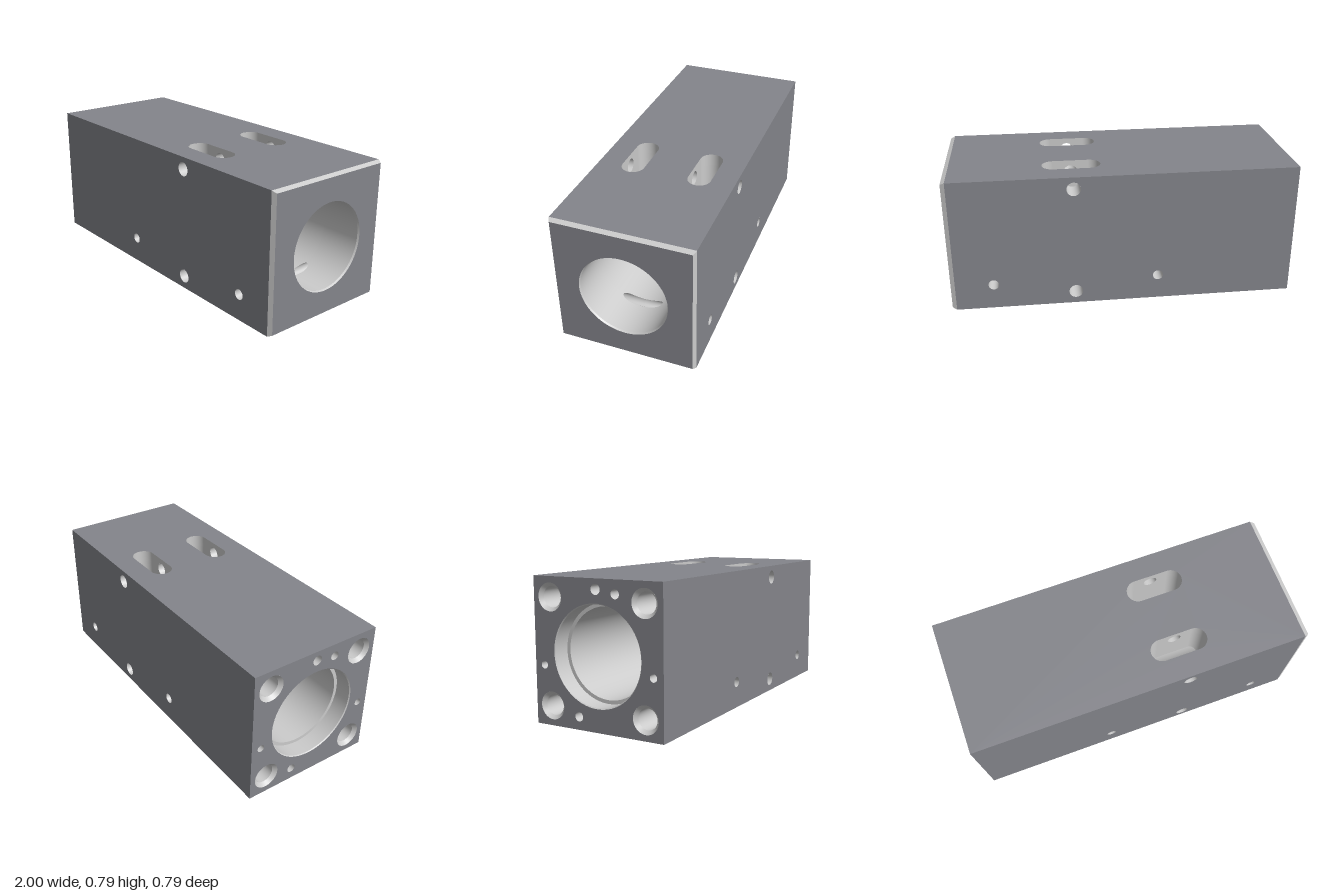
import * as THREE from 'three';
import { mergeGeometries } from 'three/addons/utils/BufferGeometryUtils.js';

const H = 0.395;                 // half height and half depth of the block
const BEVEL_X = 0.975;           // where the end bevel starts
const BORE = 0.245, WEB = 0.165; // wide bores and the narrow passage between them
const WEB0 = 0.05, WEB1 = 0.52;  // ends of the narrow passage
const MID = 0.2825;              // slots and cross holes are centred here
const SLOT = { z: 0.195, r: 0.065, half: 0.1025 };
const CROSS = { r: 0.04, ys: [0.075, 0.72] };
const PIN = { r: 0.03, y: 0.15, xs: [-0.2, 0.755] };

const painted = new THREE.MeshStandardMaterial({ color: 0x84858b, side: THREE.DoubleSide });
const bare = new THREE.MeshStandardMaterial({ color: 0xcccccc, side: THREE.DoubleSide });

const root = (v) => Math.sqrt(Math.max(0, v));

function circle(x, y, r) {
  return new THREE.Path().absarc(x, y, r, 0, Math.PI * 2, true);
}

function slotPath(cy) {
  const p = new THREE.Path();
  p.absarc(MID + SLOT.half, cy, SLOT.r, -Math.PI / 2, Math.PI / 2, false);
  p.absarc(MID - SLOT.half, cy, SLOT.r, Math.PI / 2, Math.PI * 1.5, false);
  p.closePath();
  return p;
}

// Flat rectangular face with holes cut in it
function panel(x0, x1, y0, y1, holes) {
  const s = new THREE.Shape([[x0, y0], [x1, y0], [x1, y1], [x0, y1]].map(([x, y]) => new THREE.Vector2(x, y)));
  s.holes.push(...holes);
  return new THREE.ShapeGeometry(s, 48);
}

// Turned surface along x, with a sharp edge at each [x, radius] step
function turned(profile, segments = 96) {
  const parts = [];
  for (let i = 0; i + 1 < profile.length; i++) {
    const pts = [profile[i], profile[i + 1]].map(([x, r]) => new THREE.Vector2(r, x));
    parts.push(new THREE.LatheGeometry(pts, segments));
  }
  return mergeGeometries(parts).rotateZ(-Math.PI / 2);
}

// Wall swept round an outline; spans(i) lists the solid stretches, leaving gaps where other holes break in
function brokenWall(n, point, spans) {
  const pos = [], idx = [];
  const count = spans(0).length;
  for (let k = 0; k < count; k++) {
    const base = pos.length / 3;
    for (let i = 0; i <= n; i++) {
      const [a, b] = spans(i)[k];
      pos.push(...point(i, a), ...point(i, b));
      if (i < n) {
        const q = base + i * 2;
        idx.push(q, q + 1, q + 2, q + 1, q + 3, q + 2);
      }
    }
  }
  const g = new THREE.BufferGeometry();
  g.setAttribute('position', new THREE.Float32BufferAttribute(pos, 3));
  g.setIndex(idx);
  g.computeVertexNormals();
  return g;
}

// Cylindrical wall along x with an opening of half width cut(y, z) around cx
function boreWall(r, x0, x1, cx, cut) {
  const n = 256;
  const yz = (i) => {
    const a = (i / n) * Math.PI * 2;
    return [H - r * Math.cos(a), r * Math.sin(a)];
  };
  return brokenWall(n, (i, x) => [x, ...yz(i)], (i) => {
    const w = cut(...yz(i));
    return [[x0, cx - w], [cx + w, x1]];
  });
}

export function createModel() {
  const model = new THREE.Group();
  const add = (name, geometry, material = bare) => {
    const mesh = new THREE.Mesh(geometry, material);
    mesh.name = name;
    model.add(mesh);
    return mesh;
  };

  // Outer faces of the block
  const sideHoles = (s) => [
    ...CROSS.ys.map((y) => circle(s * MID, y, CROSS.r)),
    ...PIN.xs.map((x) => circle(s * x, PIN.y, PIN.r)),
  ];
  const slots = () => [slotPath(SLOT.z), slotPath(-SLOT.z)];
  add('frontFace', panel(-1, BEVEL_X, 0, 2 * H, sideHoles(1)).translate(0, 0, H), painted);
  add('backFace', panel(-BEVEL_X, 1, 0, 2 * H, sideHoles(-1)).rotateY(Math.PI).translate(0, 0, -H), painted);
  add('topFace', panel(-1, BEVEL_X, -H, H, slots()).rotateX(-Math.PI / 2).translate(0, 2 * H, 0), painted);
  add('bottomFace', panel(-1, BEVEL_X, -H, H, slots()).rotateX(Math.PI / 2), painted);

  // Bevelled end
  const e = H - 0.012;
  add('bevelledEndFace', panel(-e, e, H - e, H + e, [circle(0, H, 0.25)])
    .rotateY(Math.PI / 2).translate(1, 0, 0), painted);
  const bevel = new THREE.CylinderGeometry(e * Math.SQRT2, H * Math.SQRT2, 1 - BEVEL_X, 4, 1, true)
    .rotateY(Math.PI / 4).rotateZ(-Math.PI / 2).translate((1 + BEVEL_X) / 2, H, 0).toNonIndexed();
  bevel.computeVertexNormals();
  add('endBevel', bevel);

  // Mounting end: four countersunk corner holes and five small blind holes, as [z, y, r]
  const corners = [];
  for (const sz of [-1, 1]) for (const sy of [-1, 1]) corners.push([sz * 0.29, H + sy * 0.287, 0.075]);
  const small = [[0, 0.735, 0.028], [0.118, 0.717, 0.025], [-0.118, 0.07, 0.025],
    [0.337, 0.322, 0.021], [-0.337, 0.322, 0.021]];
  add('mountingEndFace', panel(-H, H, 0, 2 * H,
    [circle(0, H, 0.27), ...[...corners, ...small].map((c) => circle(...c))])
    .rotateY(-Math.PI / 2).translate(-1, 0, 0), painted);
  for (const [z, y] of corners) {
    add('cornerHole', turned([[-1, 0.075], [-0.98, 0.056], [-0.65, 0.056], [-0.62, 0]], 48).translate(0, y, z));
  }
  for (const [z, y, r] of small) {
    add('smallHole', turned([[-1, r], [-0.85, r], [-0.84, 0]], 32).translate(0, y, z));
  }

  // Central bore: mouths, shoulders and the walls pierced by pins and slots
  const pinCut = (y) => root(PIN.r ** 2 - (y - PIN.y) ** 2);
  const slotCut = (y, z) => {
    const d = Math.abs(z) - SLOT.z;
    return Math.abs(d) < SLOT.r ? SLOT.half + root(SLOT.r ** 2 - d * d) : 0;
  };
  add('boreMouth', turned([[0.99, BORE], [1, 0.25]]).translate(0, H, 0));
  add('counterbore', turned([[-1, 0.27], [-0.995, 0.265], [-0.9, 0.265], [-0.9, BORE]]).translate(0, H, 0));
  add('boreShoulderRight', turned([[WEB0, BORE], [WEB0, WEB]]).translate(0, H, 0));
  add('boreShoulderLeft', turned([[WEB1, WEB], [WEB1, BORE]]).translate(0, H, 0));
  add('longBore', boreWall(BORE, -0.9, WEB0, PIN.xs[0], pinCut));
  add('shortBore', boreWall(BORE, WEB1, 0.99, PIN.xs[1], pinCut));
  add('narrowPassage', boreWall(WEB, WEB0, WEB1, MID, slotCut));

  // Slot walls, open to the passage and to the cross holes
  for (const s of [-1, 1]) {
    const n = 240;
    const outline = slotPath(s * SLOT.z).getSpacedPoints(n);
    add('slotWall', brokenWall(n, (i, y) => [outline[i].x, y, outline[i].y], (i) => {
      const b = root(WEB ** 2 - outline[i].y ** 2);
      const c = root(CROSS.r ** 2 - (outline[i].x - MID) ** 2);
      const [lo, hi] = CROSS.ys;
      return [[0, lo - c], [lo + c, H - b], [H + b, hi - c], [hi + c, 2 * H]];
    }));
  }

  // Cross holes, running from the sides into and between the slots
  const inner = SLOT.z - SLOT.r, outer = SLOT.z + SLOT.r;
  for (const y of CROSS.ys) {
    for (const [a, b] of [[-H, -outer], [-inner, inner], [outer, H]]) {
      add('crossHole', new THREE.CylinderGeometry(CROSS.r, CROSS.r, b - a, 48, 1, true)
        .rotateX(Math.PI / 2).translate(MID, y, (a + b) / 2));
    }
  }

  // Pin holes, breaking into the underside of the bore
  for (const x of PIN.xs) {
    const n = 64;
    const xy = (i) => {
      const a = (i / n) * Math.PI * 2;
      return [x + PIN.r * Math.cos(a), PIN.y + PIN.r * Math.sin(a)];
    };
    add('pinHole', brokenWall(n, (i, z) => [...xy(i), z], (i) => {
      const open = root(BORE ** 2 - (xy(i)[1] - H) ** 2);
      return [[-H, -open], [open, H]];
    }));
  }

  return model;
}
